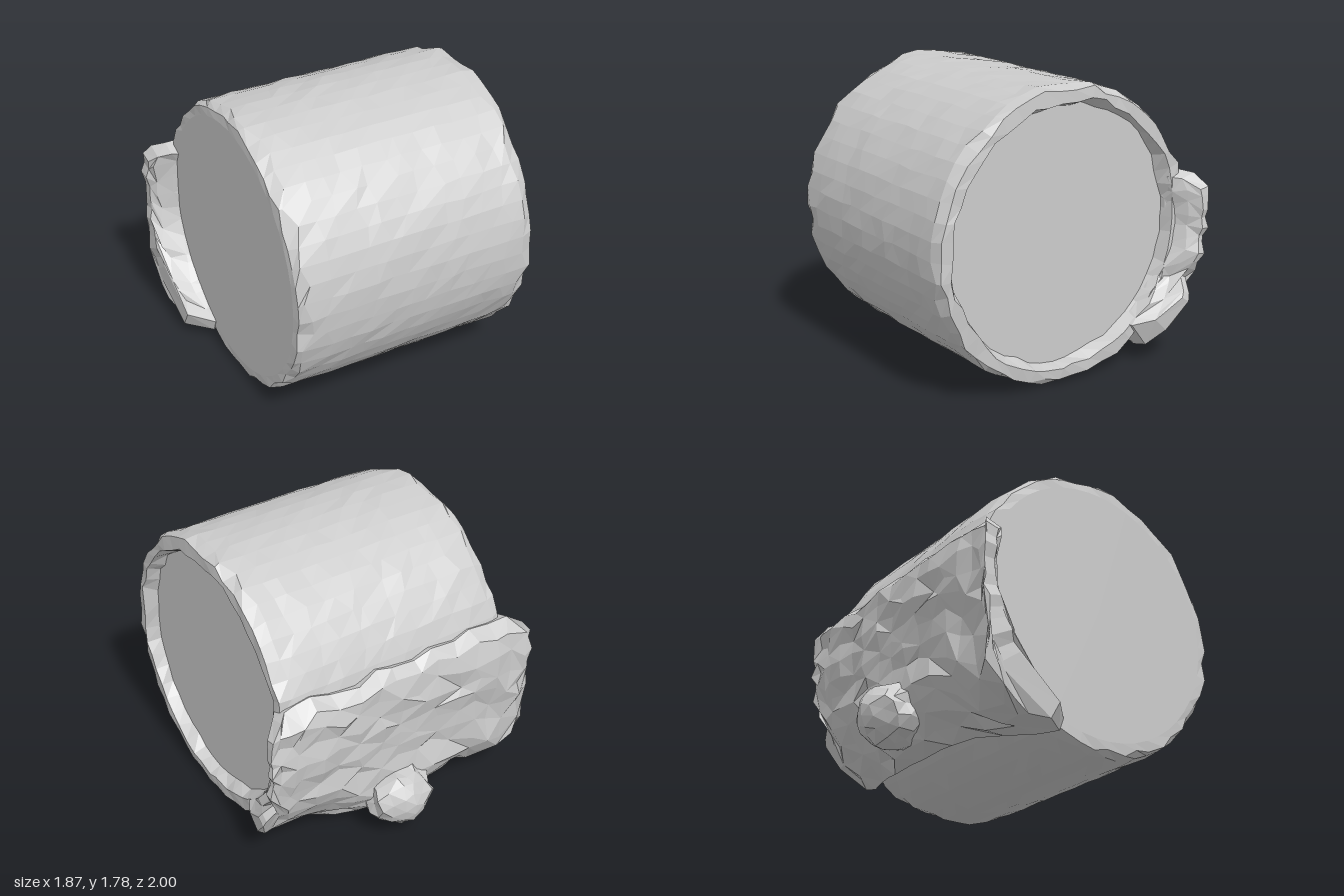
import * as THREE from 'three';

const CY = 0.885, CZ = 0.11, RADIUS = 0.887;
const { degToRad, smoothstep } = THREE.MathUtils;

// Repeatable noise in -1..1 that depends only on position, so seams stay closed
function noise(x, y, z, seed) {
  const q = (v) => Math.round(v * 500);
  const s = Math.sin(q(x) * 12.9898 + q(y) * 78.233 + q(z) * 37.719 + seed * 4.1) * 43758.5453;
  return (s - Math.floor(s)) * 2 - 1;
}

function roughen(geometry, amountAt) {
  const p = geometry.attributes.position;
  for (let i = 0; i < p.count; i++) {
    const x = p.getX(i), y = p.getY(i), z = p.getZ(i);
    const [ax, ay, az] = amountAt(x, y, z);
    p.setXYZ(i, x + ax * noise(x, y, z, 1), y + ay * noise(x, y, z, 2), z + az * noise(x, y, z, 3));
  }
  geometry.computeVertexNormals();
  return geometry;
}

// Drum lying along x: plain chipped right end, broad rim and shallow recess at the left end
function drumGeometry() {
  const pts = [[0, -0.757], [0.8, -0.757], [0.852, -0.752], [0.88, -0.695]];
  for (let i = 1; i < 11; i++) pts.push([RADIUS, -0.69 + i * 0.13]);
  pts.push([RADIUS, 0.735], [0.864, 0.79], [0.795, 0.797], [0.762, 0.715], [0, 0.715]);
  const g = new THREE.LatheGeometry(pts.map(([r, h]) => new THREE.Vector2(r, h)), 50);
  g.rotateZ(-Math.PI / 2);
  roughen(g, (x, y, z) => {
    const r = Math.hypot(y, z);
    if (r < 0.1 || (x < 0 && r < 0.83)) return [0, 0, 0];
    if (r < 0.77) return [0, 0.014, 0.014];
    if (r < 0.87) return [0.006, 0.018, 0.018];
    return Math.abs(x) > 0.68 ? [0.035, 0.008, 0.008] : [0.04, 0.005, 0.005];
  });
  return g.translate(0, CY, CZ);
}

// Rough crust on the back: a crescent cross-section swept along x.
// Each row: x, start angle, end angle (degrees below straight back), inner radius, corner radius
const rows = [
  [-0.94, -13, 36, 0.87, 1.05], [-0.89, -17, 60, 0.83, 1.08], [-0.78, -20, 69, 0.79, 1.09],
  [-0.66, -20, 65, 0.75, 1.08], [-0.52, -21, 58, 0.75, 1.07], [-0.38, -19, 53, 0.75, 1.07],
  [-0.24, -20, 51, 0.75, 1.09], [-0.1, -18, 51, 0.75, 1.12], [0.04, -19, 51, 0.75, 1.13],
  [0.18, -20, 51, 0.75, 1.11], [0.32, -17, 51, 0.75, 1.07], [0.46, -18, 52, 0.75, 1.03],
  [0.6, -20, 53, 0.75, 1.0], [0.72, -19, 54, 0.77, 0.99], [0.795, -18, 53, 0.79, 0.98],
  [0.86, -16, 45, 0.85, 0.99], [0.935, -11, 32, 0.91, 0.98],
];

// Outer radius: flat back, hollow below the ledge, then a rounded lower corner
function crustRadius(deg, corner) {
  const a = degToRad(deg);
  const back = 0.95 - 0.035 * smoothstep(deg, 4, 22) + 0.035 * smoothstep(deg, 24, 34);
  const bottom = a > 0 ? 0.835 / Math.sin(a) : Infinity;
  return Math.min(back / Math.cos(a), corner, bottom) - Math.max(0, -13 - deg) * 0.014;
}

function crustGeometry() {
  const N = 13, ring = 2 * N, verts = [], index = [];
  for (const [x, a0, a1, inner, corner] of rows) {
    for (let k = 0; k < ring; k++) {
      const outer = k < N, j = outer ? k : ring - 1 - k;
      const shift = j > 0 && j < N - 1 ? 0.3 * noise(x, j, 0, 8) : 0;
      const deg = a0 + (a1 - a0) * (j + shift) / (N - 1), a = degToRad(deg);
      const r = outer
        ? Math.max(crustRadius(deg, corner) + 0.018 * (noise(x, j, 0, 5) - 0.5), inner + 0.03)
        : inner;
      // The left end has a notch part way down
      const notch = x > 0.8 ? (x - 0.8) * 0.75 * Math.max(0, 1 - Math.abs(deg - 24) / 6) : 0;
      const dx = 0.03 * noise(x, j, 0, 6);
      verts.push(x - notch + (Math.abs(x) > 0.92 ? -Math.sign(x) * Math.abs(dx) : dx),
        Math.max(CY - r * Math.sin(a), 0.03), Math.max(CZ - r * Math.cos(a), -0.845));
    }
  }
  for (let i = 0; i < rows.length - 1; i++) {
    for (let k = 0; k < ring; k++) {
      const a = i * ring + k, b = i * ring + (k + 1) % ring, c = a + ring, d = b + ring;
      if ((i + k) % 2) index.push(a, c, b, b, c, d);
      else index.push(a, c, d, a, d, b);
    }
  }
  // End faces
  const top = (rows.length - 1) * ring;
  for (let j = 0; j < N - 1; j++) {
    const o = j, o2 = j + 1, n = ring - 1 - j, n2 = ring - 2 - j;
    index.push(o, o2, n2, o, n2, n);
    index.push(top + o, top + n2, top + o2, top + o, top + n, top + n2);
  }
  const g = new THREE.BufferGeometry();
  g.setAttribute('position', new THREE.Float32BufferAttribute(verts, 3));
  g.setIndex(index);
  g.computeVertexNormals();
  return g;
}

// Lump standing out from the lower back, wider where it meets the crust
function lumpGeometry() {
  const g = new THREE.IcosahedronGeometry(1, 2);
  g.scale(0.21, 0.195, 0.2);
  roughen(g, (x, y, z) => (z < -0.17 ? [0.015, 0.015, 0.006] : [0.025, 0.02, 0.015]));
  return g.translate(0.03, 0.265, -0.8);
}

export function createModel() {
  const group = new THREE.Group();
  const material = new THREE.MeshStandardMaterial({ color: 0xcccccc, flatShading: true });
  const add = (name, geometry) => {
    const mesh = new THREE.Mesh(geometry, material);
    mesh.name = name;
    group.add(mesh);
  };
  add('drum', drumGeometry());
  add('backCrust', crustGeometry());
  add('backLump', lumpGeometry());
  return group;
}
